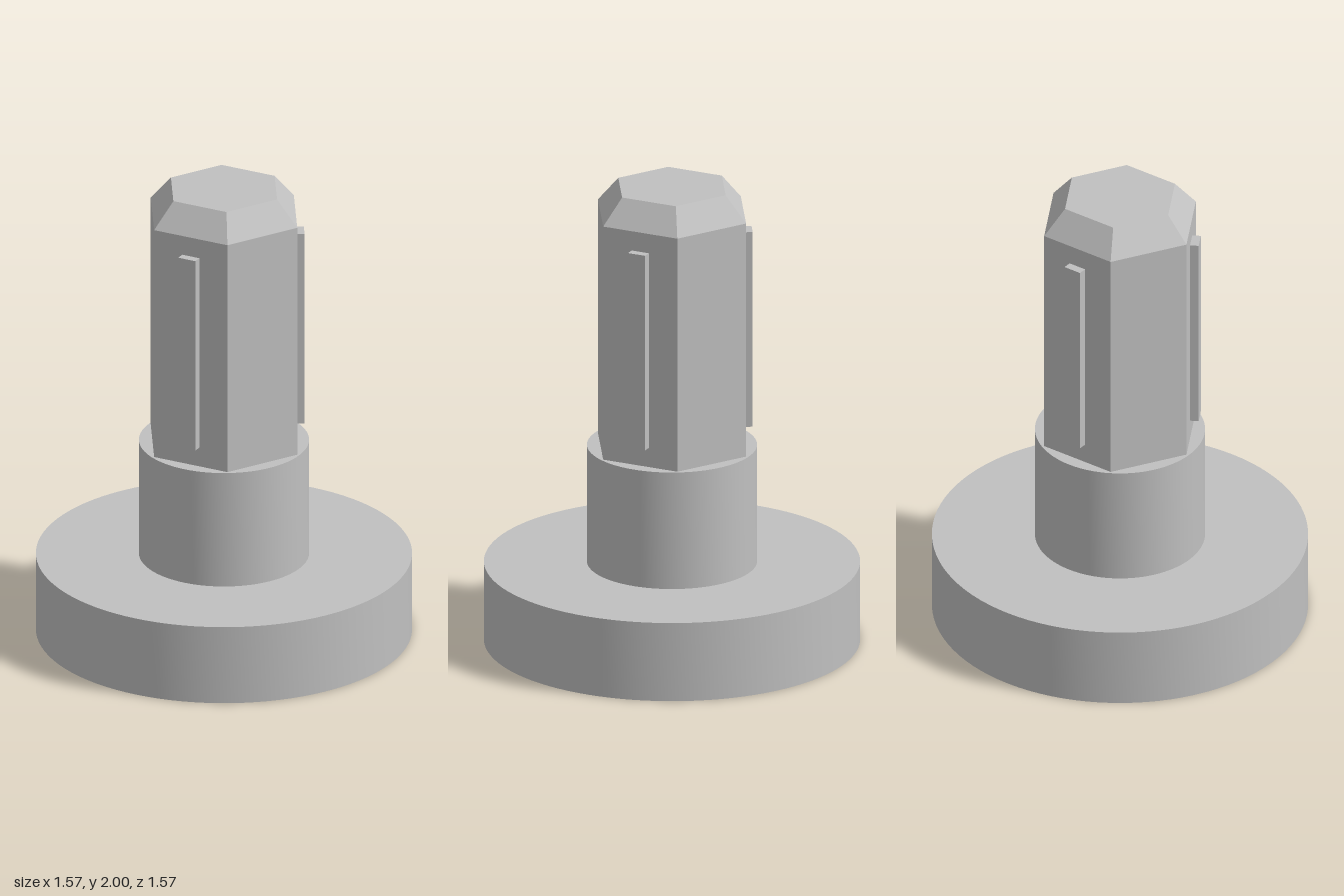
import * as THREE from 'three';
import { toCreasedNormals } from 'three/addons/utils/BufferGeometryUtils.js';

export function createModel() {
  const model = new THREE.Group();
  model.name = 'hexPeg';
  const grey = new THREE.MeshStandardMaterial({ color: 0xc0c0c0 });
  grey.name = 'grey';

  function add(name, geometry, parent = model) {
    const mesh = new THREE.Mesh(toCreasedNormals(geometry, 0.5), grey);
    mesh.name = name;
    parent.add(mesh);
    return mesh;
  }
  const lathe = (points) =>
    new THREE.LatheGeometry(points.map(([r, y]) => new THREE.Vector2(r, y)), 96);

  const recess = 0.11; // depth of the hollow under the base
  const hollowR = 0.62;

  // Round base with an annular hollow and a central boss underneath
  add('base', lathe([
    [0, 0], [0.215, 0], [0.215, recess], [hollowR, recess],
    [hollowR, 0], [0.785, 0], [0.785, 0.345], [0.355, 0.345],
  ]));

  // Round collar above the base
  add('collar', lathe([[0.355, 0.345], [0.355, 0.86], [0, 0.86]]));

  // Teeth reaching inward from the rim of the hollow
  const halfWidth = 0.095;
  const sweep = Math.asin(halfWidth / hollowR);
  const outline = new THREE.Shape();
  outline.moveTo(0.385, -halfWidth);
  outline.lineTo(hollowR * Math.cos(sweep), -halfWidth);
  outline.absarc(0, 0, hollowR, -sweep, sweep, false);
  outline.lineTo(0.385, halfWidth);
  outline.closePath();
  const teeth = new THREE.Group();
  teeth.name = 'teeth';
  model.add(teeth);
  for (let i = 0; i < 6; i++) {
    const tooth = new THREE.ExtrudeGeometry(outline, {
      depth: recess, bevelEnabled: false, curveSegments: 5,
    });
    tooth.rotateX(-Math.PI / 2);
    tooth.rotateY((i * Math.PI) / 3);
    add('tooth', tooth, teeth);
  }

  // Hexagonal shaft and its chamfered tip
  const shaft = new THREE.CylinderGeometry(0.345, 0.345, 1.03, 6, 1, true);
  shaft.translate(0, 0.86 + 0.515, 0);
  add('shaft', shaft);
  const tip = new THREE.CylinderGeometry(0.25, 0.345, 0.11, 6);
  tip.translate(0, 1.945, 0);
  add('chamferedTip', tip);

  // Slim ribs on every other face of the shaft
  const ribs = new THREE.Group();
  ribs.name = 'ribs';
  model.add(ribs);
  for (let i = 0; i < 3; i++) {
    const rib = new THREE.BoxGeometry(0.055, 0.86, 0.08);
    rib.translate(0.3075, 1.375, 0);
    rib.rotateY((i * 2 * Math.PI) / 3);
    add('rib', rib, ribs);
  }

  return model;
}
